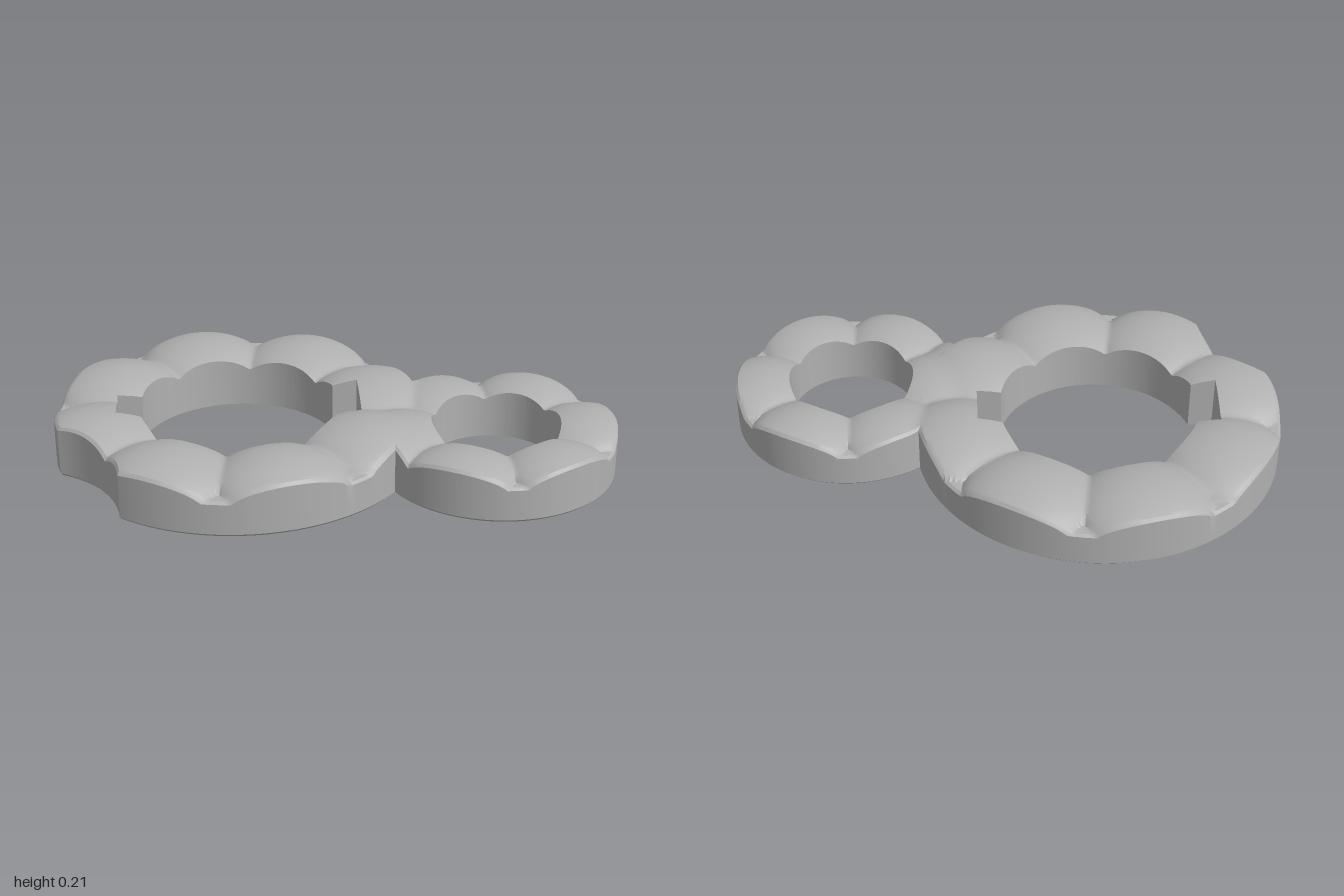
import * as THREE from 'three';
import { toCreasedNormals } from 'three/addons/utils/BufferGeometryUtils.js';

const FLAT = 0.13; // height of the ring body below the domes

// Centres of the domes spaced evenly round a ring
function domes(cx, cz, count, ringRadius, start, radius, height) {
  return Array.from({ length: count }, (_, i) => {
    const t = start + (i * Math.PI * 2) / count;
    return { x: cx + ringRadius * Math.cos(t), z: cz + ringRadius * Math.sin(t), radius, height };
  });
}

const allDomes = [
  ...domes(-0.335, 0, 8, 0.515, THREE.MathUtils.degToRad(-103.5), 0.235, 0.08),
  ...domes(0.57, 0.22, 6, 0.33, 0, 0.19, 0.063),
];

// Domed top surface: softly blended maximum of the domes
function topHeight(x, z) {
  const k = 0.012;
  let h = 0;
  for (const d of allDomes) {
    const q = 1 - ((x - d.x) ** 2 + (z - d.z) ** 2) / d.radius ** 2;
    if (q <= 0) continue;
    const b = d.height * Math.pow(q, 0.7);
    const soft = Math.max(k - Math.abs(h - b), 0) / k;
    h = Math.max(h, b) + (h > 0.005 && b > 0.005 ? soft * soft * k * 0.25 : 0);
  }
  return FLAT + h;
}

// Ring swept round its centre; inner edge may have a slot, outer edge a round bite
function ringGeometry({ cx, cz, outer, inner, slot, bite }) {
  const dx = bite.x - cx, dz = bite.z - cz;
  const dist = Math.hypot(dx, dz), dir = Math.atan2(dz, dx);

  const outerAt = (t) => {
    const along = dx * Math.cos(t) + dz * Math.sin(t);
    const disc = along * along - dist * dist + bite.r * bite.r;
    return along > 0 && disc >= 0 ? Math.min(outer, along - Math.sqrt(disc)) : outer;
  };
  const innerAt = (t) => {
    if (!slot) return inner;
    const c = Math.max(Math.abs(Math.cos(t)), 1e-6), s = Math.max(Math.abs(Math.sin(t)), 1e-6);
    return Math.max(inner, Math.min(slot.x / c, slot.z / s));
  };

  // Even angles plus the exact corners of the slot and bite
  const angles = Array.from({ length: 300 }, (_, i) => (i * Math.PI * 2) / 300);
  const spread = Math.acos((dist ** 2 + outer ** 2 - bite.r ** 2) / (2 * dist * outer));
  const corners = [dir - spread, dir + spread];
  if (slot) {
    for (const a of [Math.atan2(slot.z, slot.x), Math.asin(slot.z / inner)]) {
      corners.push(a, -a, Math.PI - a, Math.PI + a);
    }
  }
  for (const a of corners) angles.push((a + Math.PI * 4) % (Math.PI * 2));
  angles.sort((a, b) => a - b);

  const steps = 22, bevel = 0.01, positions = [], indices = [];
  let rows = 0;
  for (const t of angles) {
    const ri = innerAt(t), ro = outerAt(t);
    const heightAt = (r) => topHeight(cx + r * Math.cos(t), cz + r * Math.sin(t));
    const profile = [];
    for (let i = 0; i <= steps; i++) {
      const r = ri + ((ro - bevel - ri) * i) / steps;
      profile.push([r, heightAt(r)]);
    }
    profile.push([ro, heightAt(ro) - 0.008], [ro, bevel], [ro - bevel, 0], [ri, 0]);
    rows = profile.length;
    for (const [r, y] of profile) positions.push(cx + r * Math.cos(t), y, cz + r * Math.sin(t));
  }
  const n = angles.length;
  for (let j = 0; j < n; j++) {
    for (let i = 0; i < rows; i++) {
      const j2 = (j + 1) % n, i2 = (i + 1) % rows;
      const a = j * rows + i, b = j * rows + i2, c = j2 * rows + i, d = j2 * rows + i2;
      indices.push(a, c, b, b, c, d);
    }
  }
  const geometry = new THREE.BufferGeometry();
  geometry.setAttribute('position', new THREE.Float32BufferAttribute(positions, 3));
  geometry.setIndex(indices);
  return toCreasedNormals(geometry, 0.55);
}

export function createModel() {
  const group = new THREE.Group();
  const grey = new THREE.MeshStandardMaterial({ color: 0xb0b0b0 });
  grey.name = 'plain grey';

  // Large ring with a cross slot in the hole and a bite in the rim
  const largeRing = new THREE.Mesh(ringGeometry({
    cx: -0.335, cz: 0, outer: 0.665, inner: 0.365,
    slot: { x: 0.44, z: 0.1 },
    bite: { x: -1.19, z: 0.544, r: 0.43 },
  }), grey);
  largeRing.name = 'largeRing';

  // Small ring, cut just inside the rim of the large one
  const smallRing = new THREE.Mesh(ringGeometry({
    cx: 0.57, cz: 0.22, outer: 0.43, inner: 0.23,
    bite: { x: -0.335, z: 0, r: 0.645 },
  }), grey);
  smallRing.name = 'smallRing';

  group.add(largeRing, smallRing);
  return group;
}
